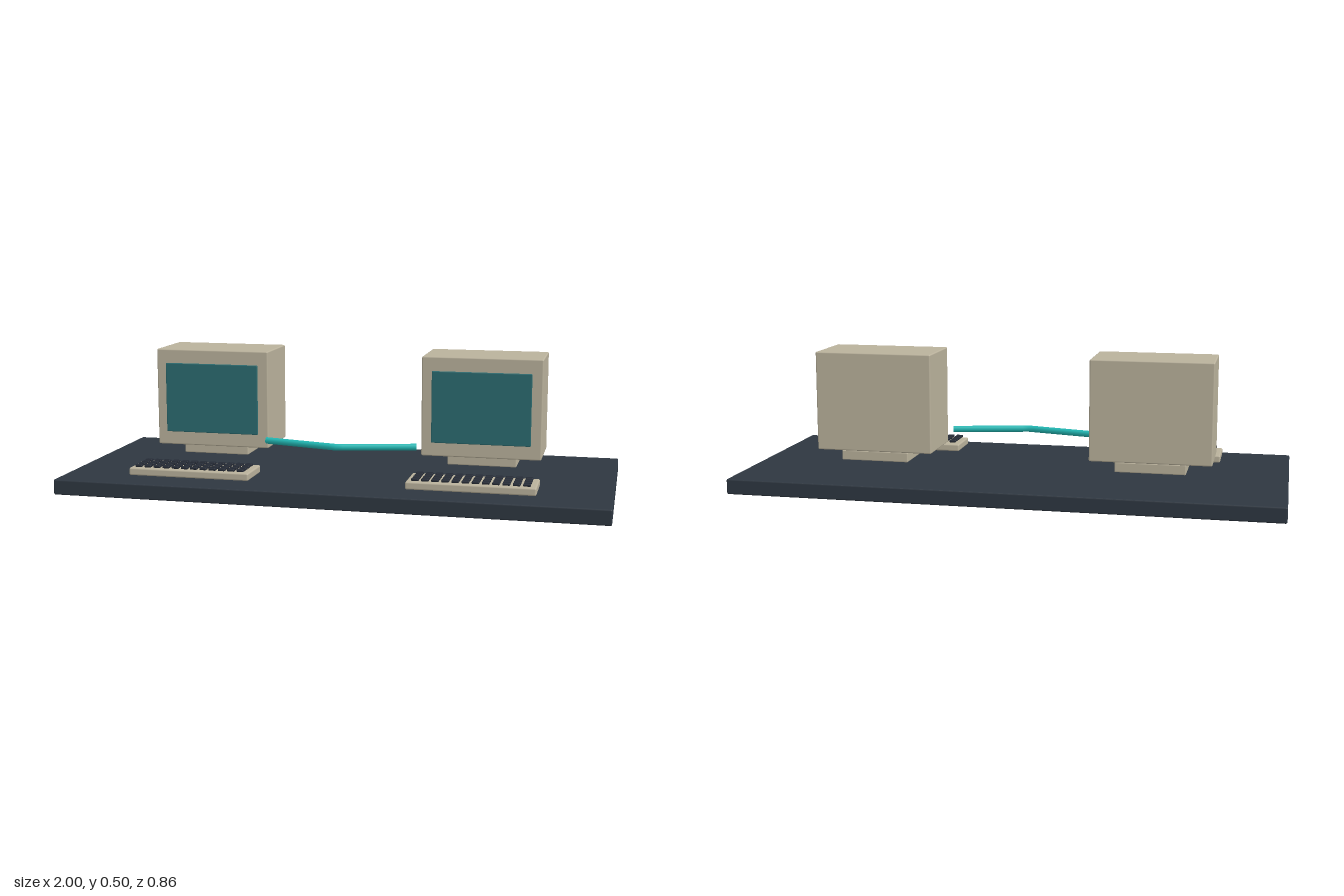
import * as THREE from 'three';
import { RoundedBoxGeometry } from 'three/addons/geometries/RoundedBoxGeometry.js';

const mat = (name, color) => {
  const m = new THREE.MeshStandardMaterial({ color });
  m.name = name;
  return m;
};

export function createModel() {
  const beige = mat('beige plastic', 0xbab29c);
  const slate = mat('slate desk', 0x2e3741);
  const keyDark = mat('dark keys', 0x252b36);
  const glass = mat('teal screen', 0x2b6b70);
  const teal = mat('bright teal cable', 0x22b8b4);
  teal.side = THREE.DoubleSide;

  // Rounded box given by its extents in y and z, centred on x
  const block = (name, material, width, [y0, y1], [z0, z1], radius, x = 0) => {
    const geo = new RoundedBoxGeometry(width, y1 - y0, z1 - z0, 2, radius);
    const mesh = new THREE.Mesh(geo, material);
    mesh.name = name;
    mesh.position.set(x, (y0 + y1) / 2, (z0 + z1) / 2);
    return mesh;
  };

  const model = new THREE.Group();
  model.name = 'linkedComputers';
  model.add(block('desk', slate, 2, [0, 0.057], [-0.428, 0.428], 0.006));

  for (const [side, x] of [['left', 0.514], ['right', -0.514]]) {
    const station = new THREE.Group();
    station.name = side + 'Computer';
    station.position.x = x;

    // Monitor on its foot
    station.add(block('monitorCase', beige, 0.441, [0.131, 0.5], [-0.192, 0.05], 0.005));
    station.add(block('monitorFoot', beige, 0.256, [0.094, 0.131], [-0.185, 0.013], 0.004));
    station.add(block('screen', glass, 0.364, [0.183, 0.448], [0.053, 0.062], 0.003));

    // Keyboard with four rows of twelve keys
    const keyboard = new THREE.Group();
    keyboard.name = 'keyboard';
    keyboard.add(block('keyboardBase', beige, 0.456, [0.066, 0.094], [0.179, 0.335], 0.006));
    for (let row = 0; row < 4; row++) {
      for (let col = 0; col < 12; col++) {
        const z = 0.216 + row * 0.033;
        keyboard.add(block('key', keyDark, 0.026, [0.096, 0.105],
          [z - 0.011, z + 0.011], 0.003, (col - 5.5) * 0.0354));
      }
    }
    station.add(keyboard);
    model.add(station);
  }

  // Cable bent once between the two computers
  const bend = new THREE.Vector3(0, 0.172, 0.17);
  const path = new THREE.CurvePath();
  path.add(new THREE.LineCurve3(new THREE.Vector3(-0.285, 0.172, 0.1), bend));
  path.add(new THREE.LineCurve3(bend, new THREE.Vector3(0.285, 0.172, 0.1)));
  const cable = new THREE.Mesh(new THREE.TubeGeometry(path, 24, 0.0125, 8), teal);
  cable.name = 'cable';
  model.add(cable);

  return model;
}
